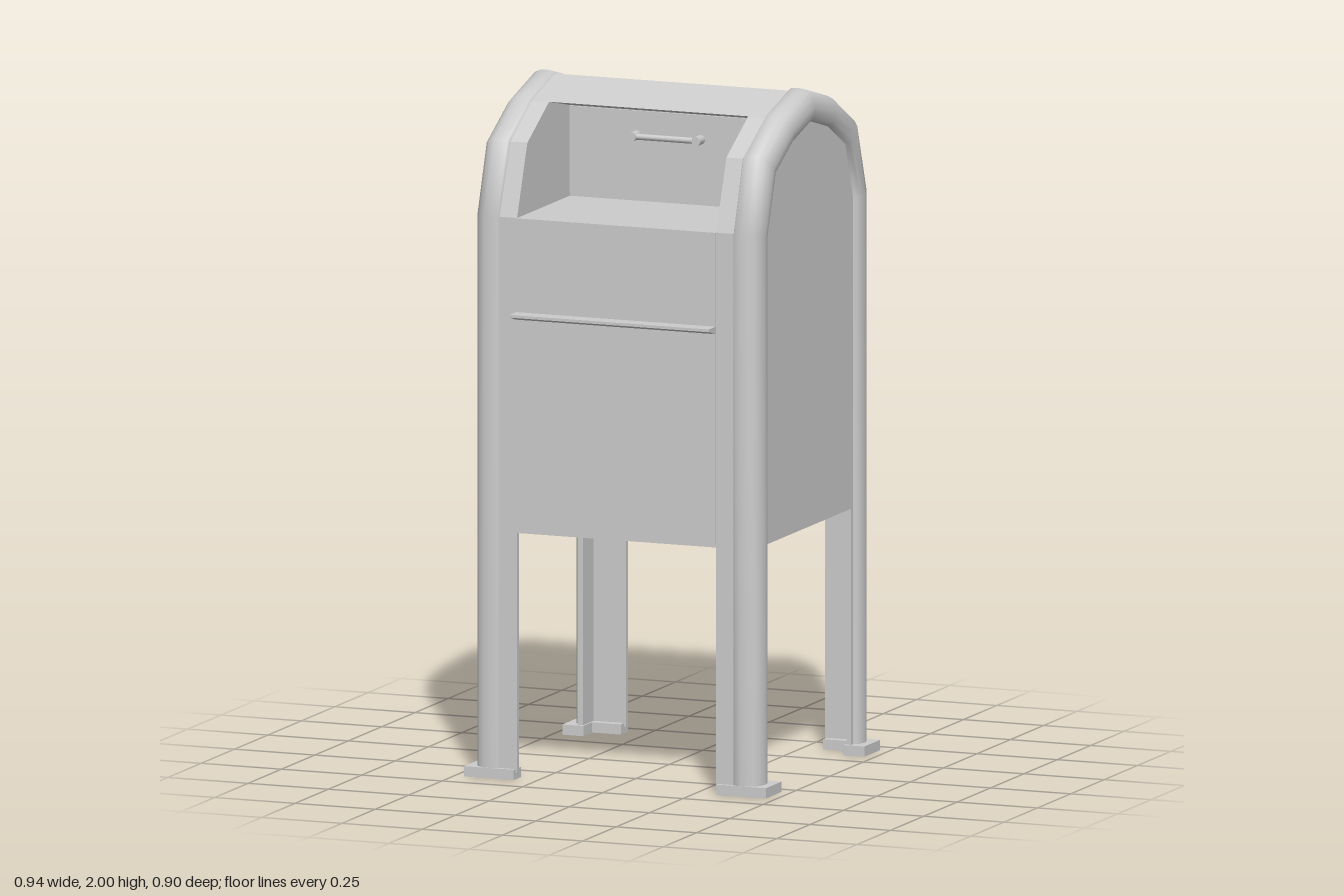
import * as THREE from 'three';

const MID = -0.02; // z of the ridge; front and back mirror about it
const mat = new THREE.MeshStandardMaterial({ color: 0xcccccc });
const thin = new THREE.MeshStandardMaterial({ color: 0xcccccc, side: THREE.DoubleSide });

function add(parent, name, geometry, material = mat) {
  const mesh = new THREE.Mesh(geometry, material);
  mesh.name = name;
  parent.add(mesh);
  return mesh;
}

// box given by its limits on each axis
function block(x0, x1, y0, y1, z0, z1) {
  return new THREE.BoxGeometry(Math.abs(x1 - x0), y1 - y0, Math.abs(z1 - z0))
    .translate((x0 + x1) / 2, (y0 + y1) / 2, (z0 + z1) / 2);
}

// a (z, y) outline extruded across x
function slab(points, x0, x1) {
  const shape = new THREE.Shape(points.map(([z, y]) => new THREE.Vector2(z, y)));
  return new THREE.ExtrudeGeometry(shape, { depth: x1 - x0, bevelEnabled: false })
    .rotateY(-Math.PI / 2).translate(x1, 0, 0);
}

// rounded trim: a (x, outward) section swept along a (z, y) path with mitred joints
function trim(path, section, side) {
  const pos = [], idx = [], n = section.length;
  const pts = path.map(p => new THREE.Vector2(...p));
  const normal = (a, b) => {
    const t = b.clone().sub(a).normalize();
    return new THREE.Vector2(t.y, -t.x);
  };
  pts.forEach((p, i) => {
    const n0 = normal(pts[Math.max(i - 1, 0)], pts[Math.max(i, 1)]);
    const last = pts.length - 1;
    const n1 = normal(pts[Math.min(i, last - 1)], pts[Math.min(i + 1, last)]);
    const m = n0.clone().add(n1).normalize();
    m.divideScalar(m.dot(n0));
    for (const [x, v] of section) pos.push(side * x, p.y + m.y * v, p.x + m.x * v);
    if (i === last) return;
    for (let j = 0; j < n - 1; j++) {
      const a = i * n + j, b = a + 1, c = a + n, d = c + 1;
      if (side > 0) idx.push(a, b, c, b, d, c);
      else idx.push(a, c, b, b, c, d);
    }
  });
  const g = new THREE.BufferGeometry();
  g.setAttribute('position', new THREE.Float32BufferAttribute(pos, 3));
  g.setIndex(idx);
  g.computeVertexNormals();
  return g;
}

export function createModel() {
  const model = new THREE.Group();
  model.name = 'mailbox';
  const flip = ([z, y]) => [2 * MID - z, y];

  // body: full outline at the sides, hopper opening cut in the middle
  const half = [[0.395, 0.72], [0.395, 1.64], [0.318, 1.847], [0.155, 1.94]];
  const back = half.map(flip).reverse();
  const full = [...half, [MID, 1.99], ...back];
  const cut = [[0.395, 0.72], [0.395, 1.64], [0, 1.64], [0, 1.905], [0.155, 1.94], [MID, 1.99], ...back];
  const body = new THREE.Group();
  body.name = 'body';
  model.add(body);
  add(body, 'bodyMiddle', slab(cut, -0.31, 0.31));
  add(body, 'bodyLeft', slab(full, 0.31, 0.425));
  add(body, 'bodyRight', slab(full, -0.425, -0.31));

  // front panel and ledge
  add(model, 'frontPanel', block(-0.31, 0.31, 0.73, 1.64, 0.38, 0.4));
  add(model, 'ledge', slab([[0.39, 1.345], [0.405, 1.345], [0.45, 1.358], [0.45, 1.366], [0.39, 1.366]], -0.31, 0.31));

  // hopper door with its handle
  const door = new THREE.Group();
  door.name = 'hopperDoor';
  model.add(door);
  add(door, 'doorPanel', block(-0.308, 0.308, 1.655, 1.904, -0.005, 0.006));
  add(door, 'handleBar', new THREE.CylinderGeometry(0.009, 0.009, 0.2, 10).rotateZ(Math.PI / 2).translate(0, 1.833, 0.032));
  for (const s of [-1, 1]) {
    add(door, 'handlePost', new THREE.CylinderGeometry(0.014, 0.014, 0.04, 10).rotateX(Math.PI / 2).translate(s * 0.1, 1.833, 0.024));
  }

  // rounded arches running from foot to foot on both sides
  const rise = [[0.405, 0.03], [0.405, 1.64], [0.33, 1.855], [0.16, 1.95]];
  const arch = [...rise, [MID, 2], ...rise.map(flip).reverse()];
  const section = [[0.362, -0.014], [0.368, -0.003], [0.39, 0], [0.41, -0.002], [0.427, -0.009],
    [0.44, -0.025], [0.446, -0.05], [0.443, -0.075], [0.434, -0.088], [0.42, -0.092]];
  for (const s of [1, -1]) add(model, s > 0 ? 'leftArch' : 'rightArch', trim(arch, section, s), thin);

  // angle-iron legs on L-shaped feet
  for (const s of [1, -1]) {
    for (const front of [true, false]) {
      const z = v => (front ? v : 2 * MID - v);
      const leg = new THREE.Group();
      leg.name = (front ? 'front' : 'back') + (s > 0 ? 'Left' : 'Right') + 'Leg';
      model.add(leg);
      add(leg, 'legFlange', block(s * 0.31, s * 0.425, 0.02, 0.73, z(0.38), z(0.395)));
      add(leg, 'legSideFlange', block(s * 0.41, s * 0.425, 0.02, 0.73, z(0.3), z(0.38)));
      add(leg, 'foot', block(s * 0.315, s * 0.47, 0, 0.03, z(0.355), z(0.408)));
      add(leg, 'footSide', block(s * 0.405, s * 0.47, 0, 0.03, z(0.29), z(0.355)));
    }
  }
  return model;
}
